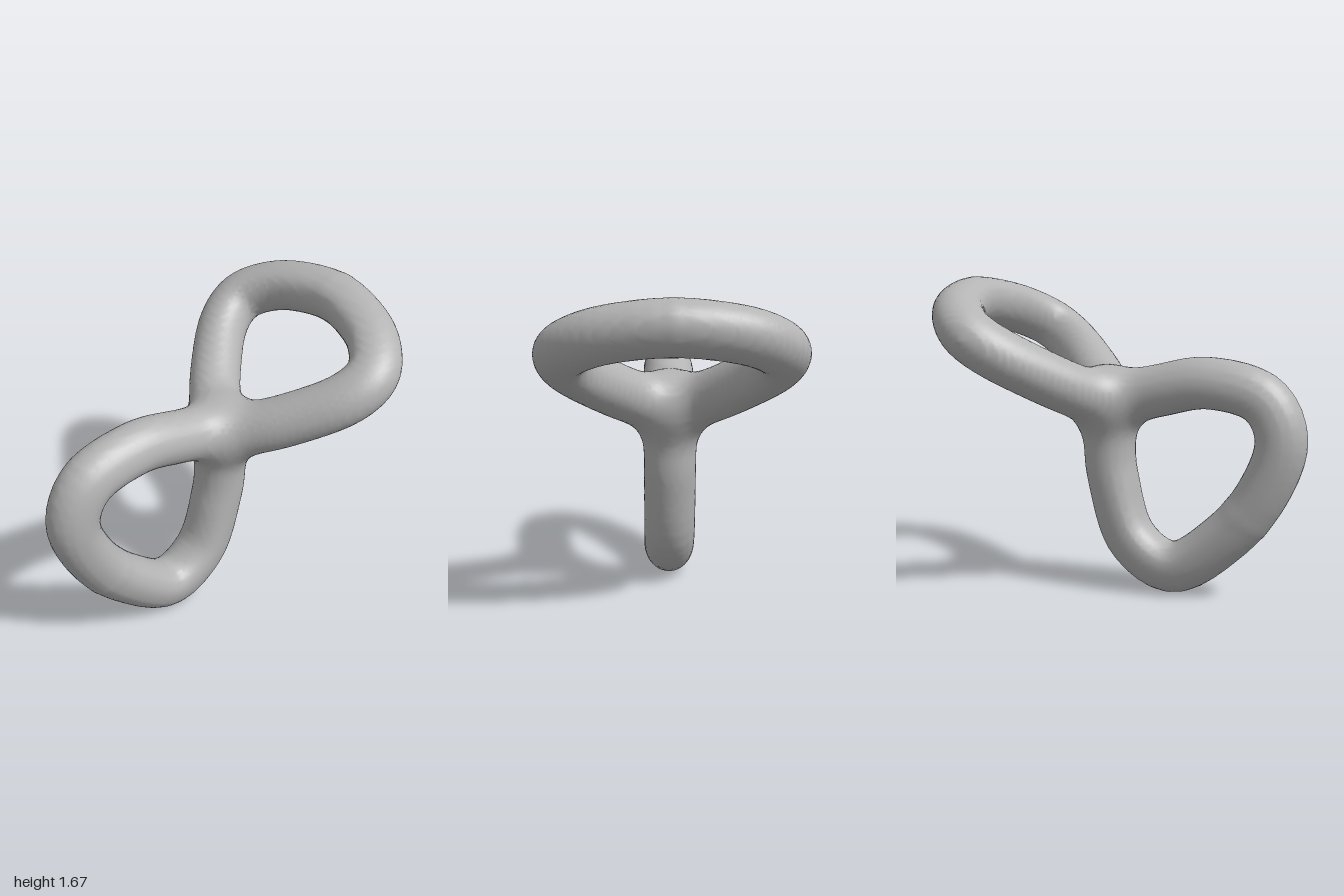
import * as THREE from 'three';

const R = 0.138;                 // tube radius
const JX = 0.09, JY = 1.01;      // junction of the two loops
const TILT = THREE.MathUtils.degToRad(34);
const CT = Math.cos(TILT), ST = Math.sin(TILT);

// Centreline of a loop in its own plane, split into two strands from the junction
function makeLoop(points, cx, cy) {
  const curve = new THREE.SplineCurve(points.map(([x, y]) => new THREE.Vector2(x, y)));
  const p = curve.getPoints(56);
  return { strands: [p.slice(0, 29), p.slice(28)], cx, cy };
}

// Upright loop, lying in the XY plane
const upright = makeLoop([
  [JX, JY], [-0.2, 1.08], [-0.47, 1.13], [-0.76, 1.06], [-0.865, 0.84], [-0.765, 0.56],
  [-0.57, 0.32], [-0.285, 0.135], [-0.04, 0.28], [0.06, 0.6], [0.08, 0.8], [JX, JY],
].map(([x, y]) => [x - JX, y - JY]), -0.49, -0.31);

// Tilted loop, symmetric across z = 0
const half = [[0, 0], [0.1, 0.16], [0.256, 0.32], [0.463, 0.485], [0.634, 0.535], [0.762, 0.47], [0.875, 0.295]];
const tilted = makeLoop(
  [...half, [0.938, 0], ...half.slice().reverse().map(([u, v]) => [u, -v])], 0.6, 0);

// Distance to one strand; the section becomes slightly egg-shaped away from the junction
function strandDistance(strand, loop, u, v, w) {
  let best = Infinity, qx = 0, qy = 0;
  for (let i = 0; i < strand.length - 1; i++) {
    const a = strand[i], b = strand[i + 1];
    const dx = b.x - a.x, dy = b.y - a.y;
    let t = ((u - a.x) * dx + (v - a.y) * dy) / (dx * dx + dy * dy);
    t = t < 0 ? 0 : t > 1 ? 1 : t;
    const x = a.x + dx * t, y = a.y + dy * t;
    const d = (u - x) * (u - x) + (v - y) * (v - y);
    if (d < best) { best = d; qx = x; qy = y; }
  }
  const outward = (u - qx) * (qx - loop.cx) + (v - qy) * (qy - loop.cy) > 0;
  const e = THREE.MathUtils.smoothstep(Math.sqrt(u * u + v * v), 0.3, 0.7);
  const o = (outward ? 1 : -1) * Math.sqrt(best) + 0.025 * e;
  const depth = o > 0 ? R + 0.022 * e : R - 0.028 * e;
  return R * (Math.sqrt((w / R) ** 2 + (o / depth) ** 2) - 1);
}

// Smooth union of the four strands, blended only around the junction
function field(px, py, pz) {
  const x = px - JX, y = py - JY;
  const u = x * CT + y * ST, w = -x * ST + y * CT;
  const d = [
    ...upright.strands.map((s) => strandDistance(s, upright, x, y, pz)),
    ...tilted.strands.map((s) => strandDistance(s, tilted, u, pz, w)),
  ];
  const k = 0.003 + 0.055 * Math.max(0, 1 - Math.sqrt(x * x + y * y + pz * pz) / 0.6);
  const m = Math.min(...d);
  return m - k * Math.log(d.reduce((sum, di) => sum + Math.exp((m - di) / k), 0));
}

function gradient(p) {
  const h = 0.004;
  return new THREE.Vector3(
    field(p.x + h, p.y, p.z) - field(p.x - h, p.y, p.z),
    field(p.x, p.y + h, p.z) - field(p.x, p.y - h, p.z),
    field(p.x, p.y, p.z + h) - field(p.x, p.y, p.z - h)).divideScalar(2 * h);
}

// Skin the field: one vertex per crossed grid cell, one quad per crossed grid edge
function skin(min, max, cell) {
  const n = min.map((m, i) => Math.ceil((max[i] - m) / cell) + 1);
  const step = [1, n[0], n[0] * n[1]];
  const f = new Float32Array(n[0] * n[1] * n[2]);
  const each = (from, fn) => {
    for (let k = from; k < n[2] - 1; k++)
      for (let j = from; j < n[1] - 1; j++)
        for (let i = from; i < n[0] - 1; i++) fn([i, j, k], i + j * step[1] + k * step[2]);
  };
  f.fill(1);
  each(0, ([i, j, k], id) => {
    f[id] = field(min[0] + i * cell, min[1] + j * cell, min[2] + k * cell);
  });

  const vertexOf = new Map(), positions = [], index = [];
  each(0, (c, id) => {
    const sum = new THREE.Vector3();
    let count = 0;
    for (let corner = 0; corner < 8; corner++) {
      const bits = [corner & 1, (corner >> 1) & 1, corner >> 2];
      const a = id + bits[0] * step[0] + bits[1] * step[1] + bits[2] * step[2];
      for (let axis = 0; axis < 3; axis++) {
        if (bits[axis]) continue;
        const b = a + step[axis];
        if ((f[a] < 0) === (f[b] < 0)) continue;
        const q = bits.slice();
        q[axis] = f[a] / (f[a] - f[b]);
        sum.add(new THREE.Vector3(...q));
        count++;
      }
    }
    if (!count) return;
    const p = sum.divideScalar(count).add(new THREE.Vector3(...c)).multiplyScalar(cell)
      .add(new THREE.Vector3(...min));
    // settle the vertex onto the surface
    const g = gradient(p);
    const move = -field(p.x, p.y, p.z) / Math.max(g.lengthSq(), 0.3);
    p.addScaledVector(g, THREE.MathUtils.clamp(move, -cell / 2, cell / 2));
    vertexOf.set(id, positions.length / 3);
    positions.push(p.x, p.y, p.z);
  });

  each(1, (c, id) => {
    for (let axis = 0; axis < 3; axis++) {
      const inside = f[id] < 0;
      if (inside === (f[id + step[axis]] < 0)) continue;
      const b = step[(axis + 1) % 3], d = step[(axis + 2) % 3];
      const q = [id, id - b, id - b - d, id - d].map((i) => vertexOf.get(i));
      if (!inside) q.reverse();
      index.push(q[0], q[1], q[2], q[0], q[2], q[3]);
    }
  });

  const geometry = new THREE.BufferGeometry();
  geometry.setAttribute('position', new THREE.Float32BufferAttribute(positions, 3));
  geometry.setIndex(index);
  geometry.computeVertexNormals();
  return geometry;
}

export function createModel() {
  const group = new THREE.Group();
  group.name = 'twistedFigureEight';
  const grey = new THREE.MeshStandardMaterial({ color: 0xb4b4b4 });
  grey.name = 'grey';

  // Both loops and their blended junction form one continuous skin
  const loops = new THREE.Mesh(skin([-1.07, -0.07, -0.75], [1.09, 1.77, 0.75], 0.027), grey);
  loops.name = 'joinedLoops';
  group.add(loops);
  return group;
}
